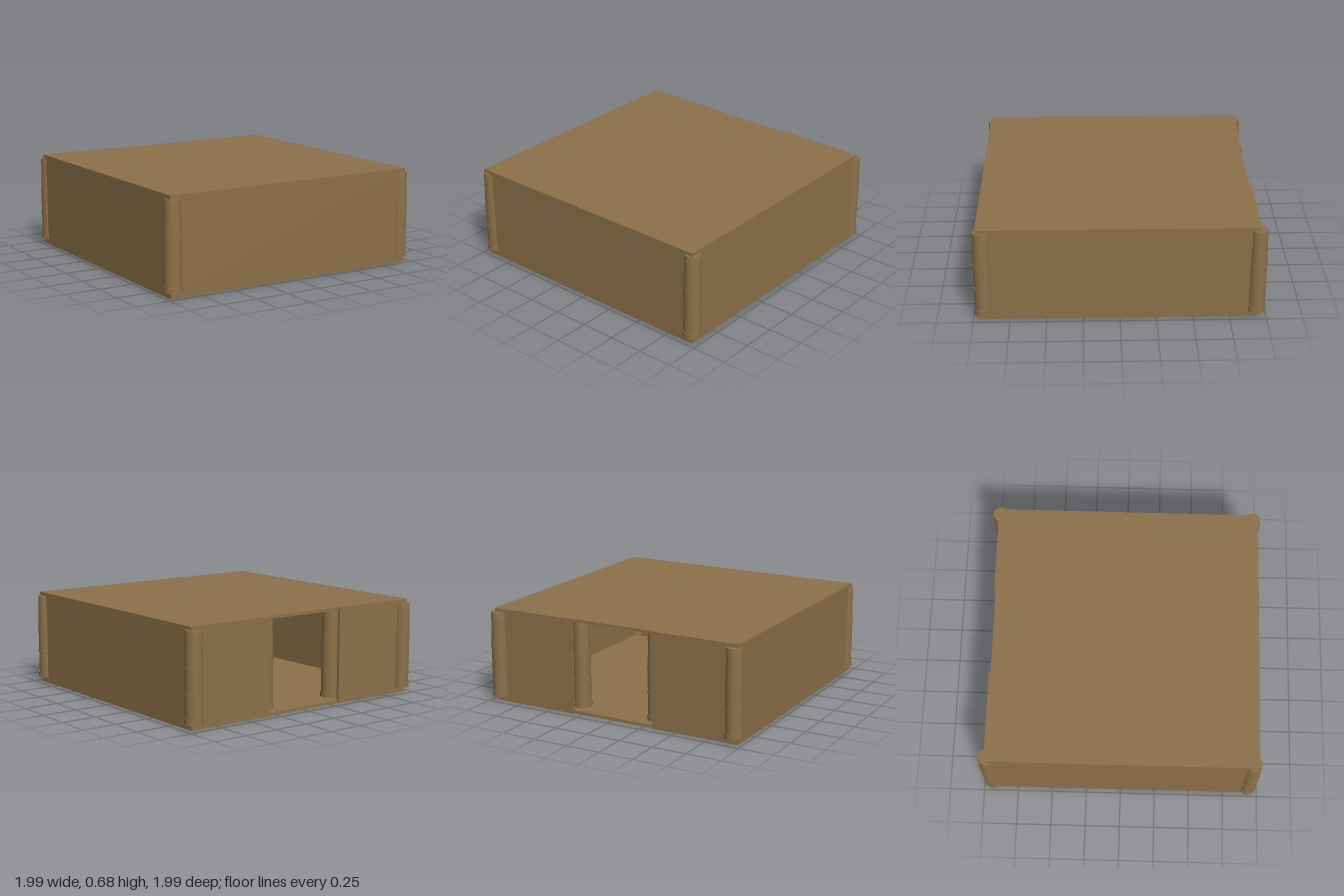
import * as THREE from 'three';

export function createModel() {
  const model = new THREE.Group();
  const wood = new THREE.MeshStandardMaterial({ color: 0x8c7049 });
  wood.name = 'bamboo brown';

  // Outer limits of the room, wall thickness and doorway edges
  const L = -0.97, R = 0.955, B = -0.945, F = 0.965, H = 0.68, T = 0.02;
  const doorL = -0.32, doorR = 0.31;

  function slab(name, x0, x1, y0, y1, z0, z1) {
    const mesh = new THREE.Mesh(new THREE.BoxGeometry(x1 - x0, y1 - y0, z1 - z0), wood);
    mesh.position.set((x0 + x1) / 2, (y0 + y1) / 2, (z0 + z1) / 2);
    mesh.name = name;
    model.add(mesh);
  }

  // Hollow room: floor and roof stop just short of the back walls' outer face
  slab('floor', L + T, R - T, 0, T, B + 0.012, F - T);
  slab('roof', L + T, R - T, H - T, H, B + 0.012, F - T);
  slab('frontWall', L, R, 0, H, F - T, F);
  slab('rightWall', L, L + T, 0, H, B, F - T);
  slab('leftWall', R - T, R, 0, H, B, F - T);
  slab('backWallRight', L + T, doorL, 0, H, B, B + T);
  slab('backWallLeft', doorR, R - T, 0, H, B, B + T);

  // Bamboo post: hollow-looking stalk with raised joints, tapering upward
  const stalk = [[0, 0.04], [0.065, 0.04], [0.065, 0.066], [0.06, 0.075], [0.06, 0.235],
    [0.061, 0.41], [0.056, 0.6], [0.058, 0.615], [0.055, 0.655], [0, 0.655]];
  // Each segment is built separately so its edges stay sharp
  const segments = stalk.slice(1).map((p, i) => new THREE.LatheGeometry(
    [stalk[i], p].map(([r, y]) => new THREE.Vector2(r, y)), 20));
  const joints = [[0.07, 0.065], [0.238, 0.064], [0.405, 0.064], [0.608, 0.059]];

  function post(name, x, z) {
    const group = new THREE.Group();
    group.name = name;
    for (const geometry of segments) {
      const mesh = new THREE.Mesh(geometry, wood);
      mesh.name = 'stalk';
      group.add(mesh);
    }
    for (const [y, r] of joints) {
      const ring = new THREE.Mesh(new THREE.CylinderGeometry(r, r, 0.014, 20), wood);
      ring.position.y = y;
      ring.name = 'joint';
      group.add(ring);
    }
    group.position.set(x, 0, z);
    model.add(group);
  }

  // Corner posts
  for (const x of [-0.932, 0.928]) {
    post('backCornerPost', x, -0.934);
    post('frontCornerPost', x, 0.928);
  }
  // Door posts just inside the doorway
  post('doorPostRight', -0.31, -0.86);
  post('doorPostLeft', 0.285, -0.86);

  return model;
}
